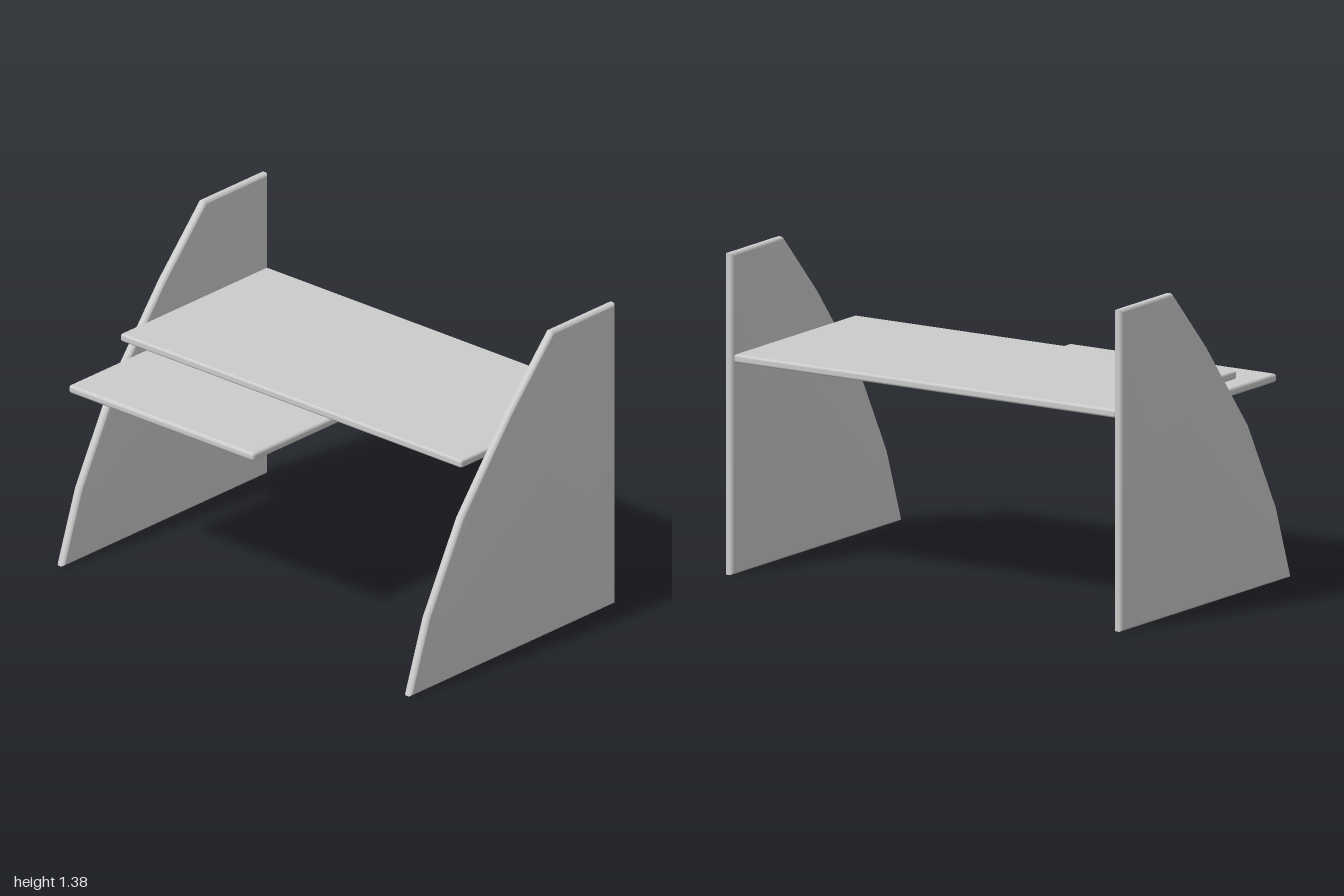
import * as THREE from 'three';
import { toCreasedNormals } from 'three/addons/utils/BufferGeometryUtils.js';
import { RoundedBoxGeometry } from 'three/addons/geometries/RoundedBoxGeometry.js';

const material = new THREE.MeshStandardMaterial({ color: 0xcccccc });

// Flat board with rounded edges, given by its min and max corners
function board(name, min, max, radius) {
  const [w, h, d] = max.map((v, i) => v - min[i]);
  const mesh = new THREE.Mesh(new RoundedBoxGeometry(w, h, d, 4, radius), material);
  mesh.position.set(...max.map((v, i) => (v + min[i]) / 2));
  mesh.name = name;
  return mesh;
}

// Side panel: outline in (z, y) with a faceted curved front edge
function sidePanelGeometry(thickness) {
  const outline = [
    [-0.65, 0], [0.63, 0], [0.52, 0.32], [0.31, 0.71],
    [0, 1.1], [-0.26, 1.38], [-0.65, 1.38],
  ].map(([z, y]) => new THREE.Vector2(z, y));
  const bevel = 0.014;
  const geometry = new THREE.ExtrudeGeometry(new THREE.Shape(outline), {
    depth: thickness - 2 * bevel,
    bevelThickness: bevel,
    bevelSize: bevel,
    bevelOffset: -bevel,
    bevelSegments: 4,
  });
  geometry.center();
  geometry.rotateY(-Math.PI / 2); // outline x becomes z
  geometry.translate(0, 0.69, -0.01);
  return toCreasedNormals(geometry, 0.6);
}

export function createModel() {
  const group = new THREE.Group();
  group.name = 'desk';

  // Two matching side panels
  const panel = sidePanelGeometry(0.04);
  for (const [name, side] of [['leftSidePanel', 1], ['rightSidePanel', -1]]) {
    const mesh = new THREE.Mesh(panel, material);
    mesh.position.x = side * 0.98;
    mesh.name = name;
    group.add(mesh);
  }

  // Desktop and the lower pull-out tray
  group.add(board('desktop', [-0.97, 0.913, -0.65], [0.955, 0.949, 0.265], 0.011));
  group.add(board('keyboardTray', [-0.915, 0.822, 0.07], [0.13, 0.859, 0.65], 0.014));
  return group;
}
